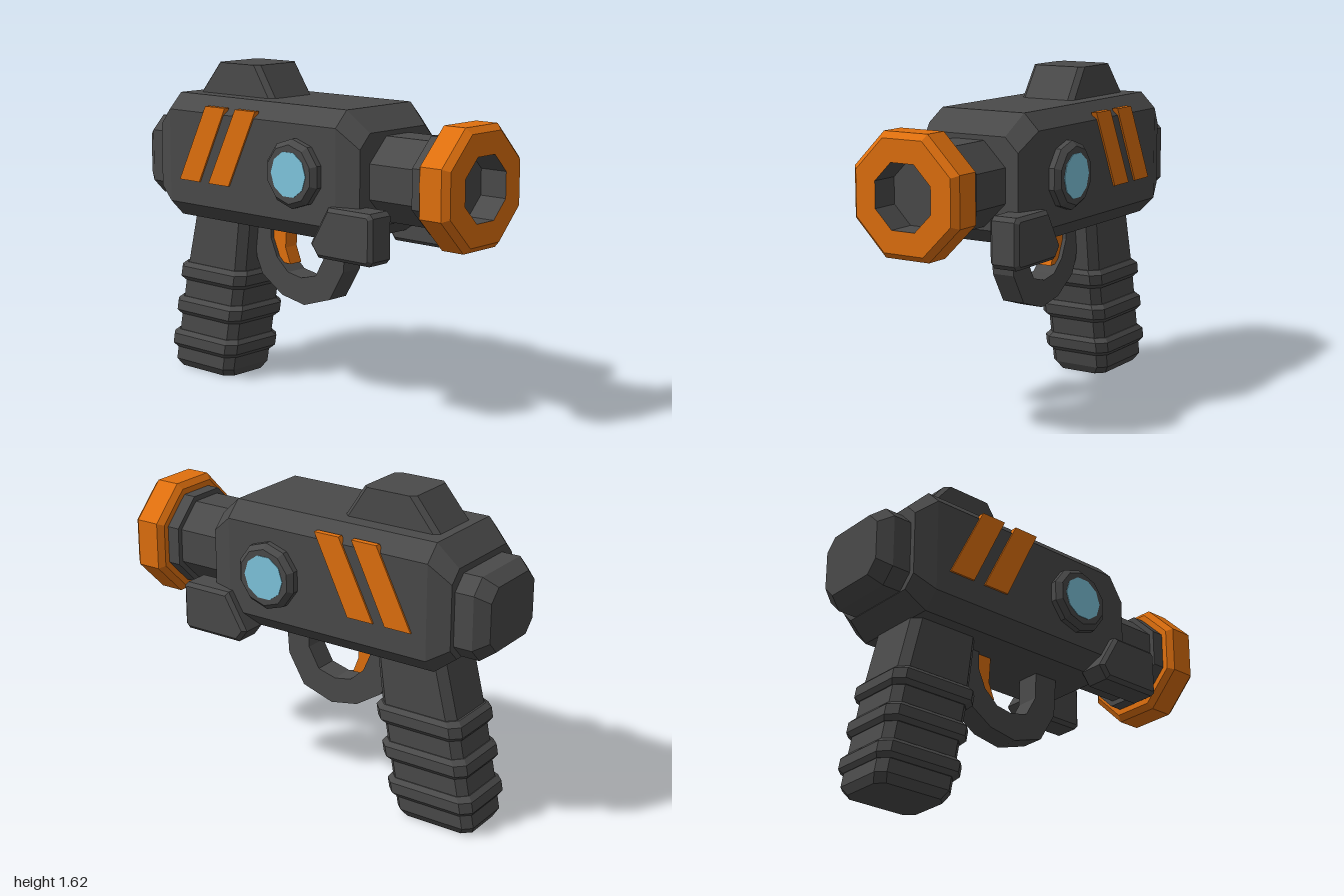
import * as THREE from 'three';

const DARK = new THREE.MeshStandardMaterial({ color: 0x4a4a4a });
const ORANGE = new THREE.MeshStandardMaterial({ color: 0xe0700e });
const GLASS = new THREE.MeshStandardMaterial({ color: 0x7fc6de });
DARK.name = 'dark grey';
ORANGE.name = 'orange';
GLASS.name = 'pale blue';

// Faceted mesh with one normal per face
function part(name, geometry, material) {
  const g = geometry.index ? geometry.toNonIndexed() : geometry;
  g.computeVertexNormals();
  const mesh = new THREE.Mesh(g, material);
  mesh.name = name;
  return mesh;
}

// Rectangle with cut corners, counter-clockwise
function cutRect(cu, cv, hu, hv, c) {
  return [[hu, c - hv], [hu, hv - c], [hu - c, hv], [c - hu, hv],
    [-hu, hv - c], [-hu, c - hv], [c - hu, -hv], [hu - c, -hv]].map(([u, v]) => [cu + u, cv + v]);
}

// Skin through sections [t, cu, cv, hu, hv, cut]; (u, v) is (y, z) along x, and (z, x) along y
function loft(axis, sections) {
  const rings = sections.map(([t, ...r]) => cutRect(...r).map(([u, v]) => (axis === 'x' ? [t, u, v] : [v, t, u])));
  const pos = [];
  const tri = (...p) => p.forEach((q) => pos.push(...q));
  for (let k = 0; k < rings.length - 1; k++) {
    const a = rings[k], b = rings[k + 1];
    for (let i = 0; i < 8; i++) {
      const j = (i + 1) % 8;
      tri(a[i], a[j], b[j]);
      tri(a[i], b[j], b[i]);
    }
  }
  const first = rings[0], last = rings[rings.length - 1];
  for (let i = 1; i < 7; i++) {
    tri(first[0], first[i + 1], first[i]);
    tri(last[0], last[i], last[i + 1]);
  }
  const g = new THREE.BufferGeometry();
  g.setAttribute('position', new THREE.Float32BufferAttribute(pos, 3));
  return g;
}

// Side outline extruded between two z values, with an optional bevel kept inside the outline
function plate(points, z0, z1, bevel = 0) {
  const shape = new THREE.Shape(points.map(([x, y]) => new THREE.Vector2(x, y)));
  const g = new THREE.ExtrudeGeometry(shape, {
    depth: z1 - z0 - 2 * bevel, bevelEnabled: bevel > 0, bevelSegments: 1,
    bevelSize: bevel, bevelOffset: -bevel, bevelThickness: bevel,
  });
  return g.translate(0, 0, z0 + bevel);
}

// Octagonal turning along x; radii are measured to the flats
function octagon(points) {
  const k = 1 / Math.cos(Math.PI / 8);
  const profile = points.map(([x, r]) => new THREE.Vector2(r * k, x));
  return new THREE.LatheGeometry(profile, 8, Math.PI / 8).rotateZ(-Math.PI / 2).translate(0, 1.137, 0);
}

export function createModel() {
  const model = new THREE.Group();
  model.name = 'toyBlaster';
  const add = (...args) => model.add(part(...args));

  // Main body and rear cap
  add('body', loft('x', [
    [-0.84, 1.137, 0, 0.217, 0.268, 0.06],
    [-0.735, 1.15, 0, 0.31, 0.306, 0.078],
    [0.375, 1.15, 0, 0.31, 0.306, 0.078],
    [0.49, 1.14, 0, 0.22, 0.268, 0.07],
  ]), DARK);
  add('rearCap', loft('x', [
    [-1, 1.123, 0, 0.155, 0.195, 0.06],
    [-0.935, 1.123, 0, 0.2, 0.24, 0.07],
    [-0.82, 1.123, 0, 0.2, 0.24, 0.07],
  ]), DARK);

  // Raised sight
  add('sight', loft('y', [
    [1.44, 0, -0.435, 0.148, 0.27, 0.025],
    [1.615, 0, -0.42, 0.145, 0.14, 0.025],
  ]), DARK);

  // Barrel, collar and muzzle
  add('barrel', octagon([[0.45, 0], [0.45, 0.2], [0.77, 0.2]]), DARK);
  add('collar', octagon([[0.76, 0.19], [0.76, 0.226], [0.83, 0.226]]), DARK);
  add('muzzleRing', octagon([[0.825, 0.2], [0.825, 0.255], [0.85, 0.283],
    [0.97, 0.283], [1, 0.255], [1, 0.15]]), ORANGE);
  add('muzzleBore', octagon([[1, 0.15], [0.86, 0.15], [0.86, 0]]), DARK);

  // Slanted grip with three ribs
  const lean = (y) => -0.706 + 0.187 * y;
  add('grip', loft('y', [
    [0, 0, -0.7, 0.135, 0.19, 0.04],
    [0.04, 0, lean(0.04), 0.163, 0.212, 0.04],
    [0.5, 0, lean(0.5), 0.163, 0.21, 0.04],
    [0.88, 0, lean(0.88), 0.163, 0.188, 0.04],
  ]), DARK);
  [0.108, 0.292, 0.478].forEach((y) => {
    const rib = [[0, 0.215, 0.168], [0.022, 0.234, 0.186], [0.074, 0.234, 0.186], [0.096, 0.215, 0.168]];
    add('gripRib', loft('y', rib.map(([d, hx, hz]) => [y + d, 0, lean(y + d), hz, hx, 0.045])), DARK);
  });

  // Trigger and its guard
  add('triggerGuard', plate([
    [-0.37, 0.86], [-0.385, 0.72], [-0.374, 0.64], [-0.337, 0.56], [-0.2, 0.472], [-0.05, 0.444],
    [0.118, 0.497], [0.207, 0.647], [0.222, 0.86], [0.09, 0.86], [0.085, 0.706], [0.027, 0.604],
    [-0.07, 0.578], [-0.16, 0.594], [-0.235, 0.66], [-0.275, 0.75], [-0.275, 0.86],
  ], -0.06, 0.06), DARK);
  add('trigger', plate([
    [-0.275, 0.86], [-0.275, 0.72], [-0.235, 0.635], [-0.163, 0.63], [-0.195, 0.71], [-0.185, 0.86],
  ], -0.04, 0.04), ORANGE);

  // Parts on both sides
  for (const s of [1, -1]) {
    const sidePlate = (points, inner, outer, bevel) =>
      (s > 0 ? plate(points, inner, outer, bevel) : plate(points, -outer, -inner, bevel));

    add('sidePod', sidePlate([
      [0.253, 0.84], [0.3, 0.778], [0.61, 0.778], [0.63, 0.8], [0.63, 1], [0.61, 1.02], [0.36, 1.02],
    ], 0.2, 0.355, 0.018), DARK);

    for (const x of [0, 0.205]) {
      add('stripe', sidePlate([
        [x - 0.66, 1.037], [x - 0.52, 1.037], [x - 0.335, 1.417], [x - 0.47, 1.417],
      ], 0.285, 0.315), ORANGE);
    }

    const rim = [[0.165, 0.29], [0.165, 0.335], [0.14, 0.36], [0, 0.36]];
    const disc = [[0.11, 0.358], [0.11, 0.363], [0, 0.363]];
    const turned = (profile, phase) => new THREE.LatheGeometry(
      profile.map(([r, y]) => new THREE.Vector2(r, y)), 10, phase,
    ).rotateX(s * Math.PI / 2).translate(0.13, 1.15, 0);
    add('portholeRim', turned(rim, 0), DARK);
    add('portholeGlass', turned(disc, Math.PI / 10), GLASS);
  }
  return model;
}
